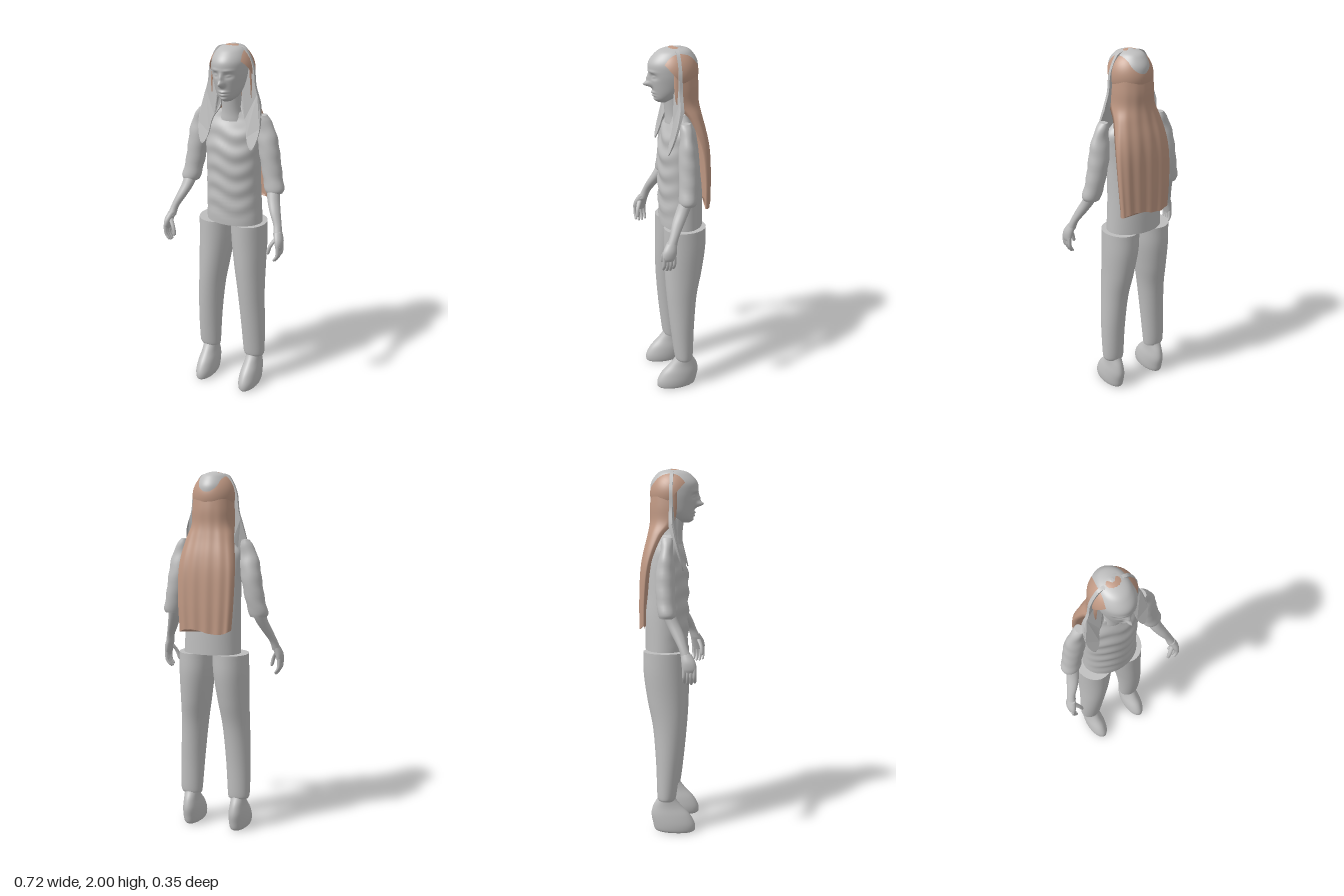
import * as THREE from 'three';

// Closed skin over rings; point(t, a) runs from bottom (t=0) to top (t=1), a from the front towards +x
function skin(rows, seg, point) {
  const pos = [], idx = [];
  for (let i = 0; i <= rows; i++)
    for (let j = 0; j < seg; j++) pos.push(...point(i / rows, (j / seg) * Math.PI * 2));
  for (let i = 0; i < rows; i++)
    for (let j = 0; j < seg; j++) {
      const k = (j + 1) % seg, a = i * seg + j, b = i * seg + k;
      idx.push(a, b, b + seg, a, b + seg, a + seg);
    }
  // flat end caps with their own vertices
  for (const [row, top] of [[0, false], [rows, true]]) {
    const base = pos.length / 3, c = [0, 0, 0];
    for (let j = 0; j < seg; j++) {
      const p = pos.slice((row * seg + j) * 3, (row * seg + j) * 3 + 3);
      p.forEach((v, n) => { c[n] += v / seg; });
      pos.push(...p);
    }
    pos.push(...c);
    for (let j = 0; j < seg; j++) {
      const a = base + j, b = base + ((j + 1) % seg);
      idx.push(base + seg, top ? a : b, top ? b : a);
    }
  }
  const g = new THREE.BufferGeometry();
  g.setAttribute('position', new THREE.Float32BufferAttribute(pos, 3));
  g.setIndex(idx);
  g.computeVertexNormals();
  return g;
}

// Smooth curves through section rows
const curve = pts => new THREE.CatmullRomCurve3(pts.map(p => new THREE.Vector3(...p)), false, 'catmullrom', 0.5);

// Elliptical loft; sections are [y, cx, cz, rx, rz] listed upward
function loft(sections, rows = 24, seg = 28, side = 1, tweak = null) {
  const mid = curve(sections.map(([y, x, z]) => [x * side, y, z]));
  const rad = curve(sections.map(s => [s[3], s[4], 0]));
  return skin(rows, seg, (t, a) => {
    const c = mid.getPoint(t), r = rad.getPoint(t);
    const p = [c.x + Math.sin(a) * r.x, c.y, c.z + Math.cos(a) * r.y];
    return tweak ? tweak(p, a) : p;
  });
}

const bump = (x, y, cx, cy, sx, sy) => Math.exp(-(((x - cx) / sx) ** 2) - ((y - cy) / sy) ** 2);

export function createModel() {
  const model = new THREE.Group();
  const grey = new THREE.MeshStandardMaterial({ color: 0xbebebe, side: THREE.DoubleSide });
  grey.name = 'pale grey';
  const brown = new THREE.MeshStandardMaterial({ color: 0xbf9883, side: THREE.DoubleSide });
  brown.name = 'hair brown';
  const add = (name, geo, mat = grey, parent = model) => {
    const m = new THREE.Mesh(geo, mat);
    m.name = name;
    parent.add(m);
    return m;
  };

  // Head with nose, eye sockets, lips and chin pushed out of the front
  add('head', loft([
    [1.715, 0.01, 0.065, 0.025, 0.03], [1.735, 0.01, 0.055, 0.05, 0.058], [1.77, 0.01, 0.037, 0.072, 0.085],
    [1.82, 0.01, 0.018, 0.088, 0.117], [1.87, 0.01, 0.016, 0.096, 0.128], [1.92, 0.01, 0.016, 0.096, 0.128],
    [1.96, 0.01, 0.013, 0.08, 0.103], [1.985, 0.01, 0.008, 0.055, 0.07], [1.999, 0.01, 0, 0.006, 0.006],
  ], 72, 80, 1, ([x, y, z], a) => {
    if (Math.cos(a) > 0) {
      const u = x - 0.01;
      z += 0.038 * bump(u, y, 0, 1.812, 0.013, 0.014) + 0.018 * bump(u, y, 0, 1.84, 0.01, 0.025);
      z += 0.012 * bump(u, y, 0, 1.768, 0.022, 0.006) + 0.011 * bump(u, y, 0, 1.752, 0.02, 0.006);
      z += 0.01 * bump(u, y, 0, 1.728, 0.02, 0.012);
      for (const s of [-1, 1]) {
        z -= 0.014 * bump(u, y, s * 0.036, 1.856, 0.02, 0.013);
        z += 0.01 * bump(u, y, s * 0.036, 1.855, 0.012, 0.006);
        z += 0.005 * bump(u, y, s * 0.036, 1.882, 0.025, 0.006);
      }
    }
    return [x, y, z];
  }));
  add('neck', loft([
    [1.6, 0.01, 0.0, 0.07, 0.06], [1.66, 0.01, 0.01, 0.055, 0.05], [1.78, 0.01, 0.02, 0.052, 0.055],
  ], 10));

  // Shirt body with soft horizontal wrinkles on the front
  add('shirt', loft([
    [1.02, 0.01, -0.026, 0.162, 0.118], [1.2, 0.006, -0.024, 0.156, 0.118], [1.32, 0.006, -0.018, 0.155, 0.112],
    [1.42, 0.006, -0.014, 0.156, 0.107], [1.5, 0.007, -0.014, 0.16, 0.095], [1.57, 0.009, -0.015, 0.158, 0.078],
    [1.615, 0.01, -0.012, 0.12, 0.056], [1.648, 0.01, -0.005, 0.075, 0.046],
  ], 64, 48, 1, ([x, y, z], a) => {
    const w = Math.max(0, Math.cos(a)) * Math.min(1, (1.65 - y) * 8) * Math.min(1, (y - 1.02) * 10);
    return [x, y, z + 0.005 * w * Math.sin(y * 62 + 1.3 * Math.sin(x * 24))];
  }));

  for (const s of [-1, 1]) {
    const side = s > 0 ? 'left' : 'right';
    const arm = new THREE.Group();
    arm.name = side + 'Arm';
    arm.position.x = 0.006;
    model.add(arm);

    // Trouser leg and shoe
    add(side + 'TrouserLeg', loft([
      [0.185, 0.142, -0.012, 0.058, 0.046], [0.22, 0.144, -0.01, 0.064, 0.054], [0.4, 0.138, -0.003, 0.07, 0.068],
      [0.6, 0.125, -0.003, 0.076, 0.086], [0.75, 0.112, -0.015, 0.086, 0.105], [0.9, 0.102, -0.026, 0.097, 0.116],
      [1.02, 0.098, -0.027, 0.1, 0.117],
    ], 40, 32, s));
    add(side + 'Shoe', loft([
      [0, 0.141, 0.035, 0.042, 0.1], [0.012, 0.141, 0.034, 0.053, 0.114], [0.05, 0.141, 0.028, 0.057, 0.118],
      [0.1, 0.141, 0.01, 0.053, 0.108], [0.15, 0.142, -0.008, 0.044, 0.078], [0.2, 0.143, -0.013, 0.041, 0.046],
      [0.24, 0.143, -0.01, 0.04, 0.04],
    ], 30, 32, s));

    // Sleeve, forearm and hand
    add(side + 'Sleeve', loft([
      [1.225, 0.254, 0.004, 0.046, 0.042], [1.25, 0.252, 0.003, 0.054, 0.048], [1.32, 0.236, -0.006, 0.054, 0.05],
      [1.42, 0.218, -0.01, 0.056, 0.052], [1.5, 0.206, -0.008, 0.056, 0.046], [1.56, 0.198, -0.006, 0.048, 0.034],
      [1.61, 0.186, -0.005, 0.034, 0.032], [1.64, 0.178, -0.004, 0.02, 0.028],
    ], 30, 28, s, ([x, y, z], a) => [x + 0.002 * Math.sin(y * 70 + a), y, z]), grey, arm);
    add(side + 'Forearm', loft([
      [1.03, 0.325, 0.112, 0.024, 0.028], [1.08, 0.313, 0.092, 0.022, 0.025], [1.14, 0.286, 0.064, 0.029, 0.033],
      [1.2, 0.262, 0.032, 0.034, 0.036], [1.26, 0.25, 0.004, 0.036, 0.036],
    ], 16, 20, s), grey, arm);
    add(side + 'Palm', loft([
      [0.955, 0.342, 0.128, 0.012, 0.03], [0.975, 0.342, 0.128, 0.018, 0.038], [1.01, 0.336, 0.122, 0.023, 0.037],
      [1.05, 0.322, 0.108, 0.022, 0.028],
    ], 12, 18, s), grey, arm);
    for (let i = 0; i < 4; i++) {
      const z = 0.101 + i * 0.018, tip = 0.882 + Math.abs(i - 1.5) * 0.008;
      add(side + 'Finger' + (i + 1), loft([
        [tip, 0.322, z, 0.002, 0.002], [tip + 0.008, 0.325, z, 0.008, 0.008],
        [0.93, 0.342, z, 0.01, 0.01], [0.98, 0.344, z, 0.011, 0.011],
      ], 10, 10, s), grey, arm);
    }
    add(side + 'Thumb', loft([
      [0.925, 0.286, 0.152, 0.002, 0.002], [0.934, 0.287, 0.152, 0.009, 0.009],
      [0.975, 0.298, 0.148, 0.011, 0.011], [1.02, 0.326, 0.128, 0.014, 0.014],
    ], 10, 10, s), grey, arm);

    // Flat front lock falling beside the face and swinging forward over the chest
    const shape = new THREE.Shape();
    shape.moveTo(0.04, 1.99);
    shape.splineThru([[0.085, 1.972], [0.125, 1.89], [0.138, 1.79], [0.165, 1.7], [0.18, 1.6], [0.172, 1.52], [0.145, 1.465],
      [0.115, 1.51], [0.098, 1.6], [0.06, 1.67], [0.062, 1.76], [0.05, 1.9]].map(p => new THREE.Vector2(...p)));
    shape.closePath();
    const lock = new THREE.ExtrudeGeometry(shape, { depth: 0.018, bevelEnabled: false, curveSegments: 40 });
    const p = lock.attributes.position;
    for (let i = 0; i < p.count; i++) {
      const fall = THREE.MathUtils.clamp((1.7 - p.getY(i)) / 0.23, 0, 1);
      p.setXYZ(i, p.getX(i) * s + 0.008, p.getY(i), p.getZ(i) * (1 - 0.7 * fall) + 0.075 * fall);
    }
    // mirrored triangles need their corners reversed
    if (s < 0) for (let i = 0; i < p.count; i += 3) {
      const a = new THREE.Vector3().fromBufferAttribute(p, i), b = new THREE.Vector3().fromBufferAttribute(p, i + 1);
      p.setXYZ(i, b.x, b.y, b.z);
      p.setXYZ(i + 1, a.x, a.y, a.z);
    }
    lock.computeVertexNormals();
    add(side + 'FrontLock', lock);
  }

  // Hair cap tilted back over the skull, with a bare patch at the crown
  const cap = (theta, tilt, roll, grow) => new THREE.SphereGeometry(1, 40, 20, 0, Math.PI * 2, 0, theta)
    .rotateX(-tilt).rotateZ(roll).scale(0.12 + grow, 0.13 + grow, 0.124 + grow).translate(0.01, 1.868, 0.008);
  add('hairCap', cap(1.72, 0.85, 0, 0), brown);
  add('crownPatch', cap(0.38, 0.55, -0.12, 0.0015));

  // Long hair wrapping the head and flattening into a sheet down the back
  const rows = [
    [1.15, 0.15, -0.125, -0.17], [1.3, 0.16, -0.12, -0.17], [1.45, 0.163, -0.105, -0.165], [1.55, 0.155, -0.08, -0.152],
    [1.65, 0.135, -0.035, -0.128], [1.72, 0.12, 0.025, -0.116], [1.8, 0.118, 0.04, -0.116], [1.9, 0.11, 0.04, -0.106],
  ];
  const width = curve(rows.map(r => [r[1], r[0], 0])), depth = curve(rows.map(r => [r[2], r[3], 0]));
  add('longHair', skin(40, 96, (t, a) => {
    const { x: w, y } = width.getPoint(t), { x: front, y: back } = depth.getPoint(t);
    const outer = a >= Math.PI;
    const phi = outer ? 1.5 * Math.PI - a : a - Math.PI / 2;
    const c = Math.max(0, Math.cos(phi)) ** 0.6;
    const fold = outer ? 0.004 * Math.sin(phi * 13) * c * (1 - t) : 0;
    const rag = t === 0 ? 0.012 * Math.sin(phi * 3) : 0;
    return [0.01 + Math.sin(phi) * w * (outer ? 1 : 0.92), y + rag, front - (front - back - (outer ? 0 : 0.024)) * c + fold];
  }), brown);

  return model;
}
